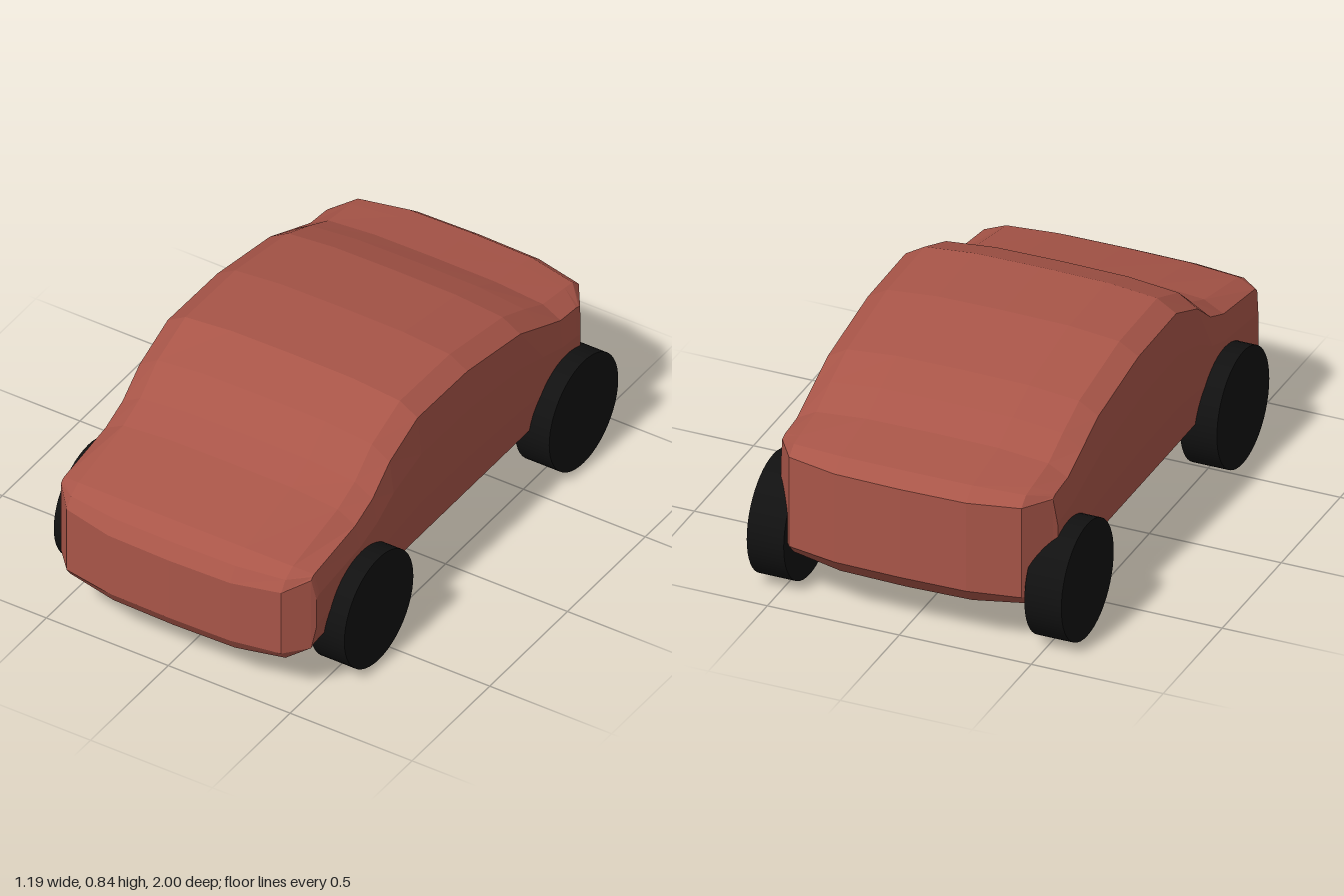
import * as THREE from 'three';

// Body columns from nose to tail: centreline [z, top, bottom], then shoulder [z, top, bottom]
const COLUMNS = [
  [1.0, 0.46, 0.21, 0.885, 0.51, 0.215],
  [0.965, 0.515, 0.155, 0.875, 0.52, 0.22],
  [0.9, 0.555, 0.13, 0.865, 0.525, 0.225],
  [0.6, 0.625, 0.13, 0.6, 0.565, 0.24],
  [0.49, 0.675, 0.13, 0.49, 0.61, 0.25],
  [0.38, 0.77, 0.13, 0.38, 0.7, 0.25],
  [0.2, 0.84, 0.13, 0.2, 0.775, 0.25],
  [-0.12, 0.835, 0.13, -0.12, 0.77, 0.25],
  [-0.46, 0.775, 0.13, -0.46, 0.71, 0.25],
  [-0.6, 0.72, 0.13, -0.6, 0.65, 0.25],
  [-0.72, 0.66, 0.13, -0.72, 0.6, 0.24],
  [-0.88, 0.635, 0.13, -0.82, 0.59, 0.225],
  [-0.945, 0.625, 0.165, -0.835, 0.585, 0.22],
  [-1.0, 0.58, 0.23, -0.845, 0.58, 0.215],
];

// Half-width stations: x, blend from centreline to shoulder, shrink of the side panel
const HALF = [[0, 0, 0], [0.25, 0.04, 0], [0.44, 0.32, 0], [0.513, 1, 0], [0.525, 1, 0.3]];
const STATIONS = [...HALF.slice(1).reverse().map(([x, t, s]) => [-x, t, s]), ...HALF];

function createBodyGeometry() {
  const n = COLUMNS.length, ring = 2 * n;
  const positions = [], index = [];
  const quad = (a, b, c, d) => index.push(a, b, c, a, c, d);

  // One closed side profile per station: along the top to the tail, back along the floor
  for (const [x, t, shrink] of STATIONS) {
    const section = COLUMNS.map(([z, top, low, zo, topO, lowO]) => {
      const hi = THREE.MathUtils.lerp(top, topO, t);
      const lo = THREE.MathUtils.lerp(low, lowO, t);
      const inset = (hi - lo) * shrink;
      return [THREE.MathUtils.lerp(z, zo, t) * (1 - shrink * 0.06), hi - inset, lo + inset];
    });
    section.forEach(([z, hi]) => positions.push(x, hi, z));
    section.reverse().forEach(([z, , lo]) => positions.push(x, lo, z));
  }

  // Skin between neighbouring profiles
  for (let j = 0; j < STATIONS.length - 1; j++) {
    for (let i = 0; i < ring; i++) {
      const a = j * ring + i, b = j * ring + (i + 1) % ring;
      quad(a, a + ring, b + ring, b);
    }
  }

  // Side panels
  const last = (STATIONS.length - 1) * ring;
  for (let k = 0; k < n - 1; k++) {
    const low = ring - 1 - k;
    quad(last + k, last + low, last + low - 1, last + k + 1);
    quad(k, k + 1, low - 1, low);
  }

  const geometry = new THREE.BufferGeometry();
  geometry.setAttribute('position', new THREE.Float32BufferAttribute(positions, 3));
  geometry.setIndex(index);
  geometry.computeVertexNormals();
  return geometry;
}

export function createModel() {
  const car = new THREE.Group();
  car.name = 'car';

  const paint = new THREE.MeshStandardMaterial({ color: 0xa85548, flatShading: true });
  const body = new THREE.Mesh(createBodyGeometry(), paint);
  body.name = 'body';
  car.add(body);

  // Four plain wheels standing on the ground
  const radius = 0.222, width = 0.14;
  const rubber = new THREE.MeshStandardMaterial({ color: 0x111111 });
  const wheelGeometry = new THREE.CylinderGeometry(radius, radius, width, 48).rotateZ(Math.PI / 2);
  for (const [end, z] of [['front', 0.58], ['rear', -0.738]]) {
    for (const [side, sign] of [['Left', 1], ['Right', -1]]) {
      const wheel = new THREE.Mesh(wheelGeometry, rubber);
      wheel.name = `${end}${side}Wheel`;
      wheel.position.set(sign * 0.526, radius, z);
      car.add(wheel);
    }
  }
  return car;
}
